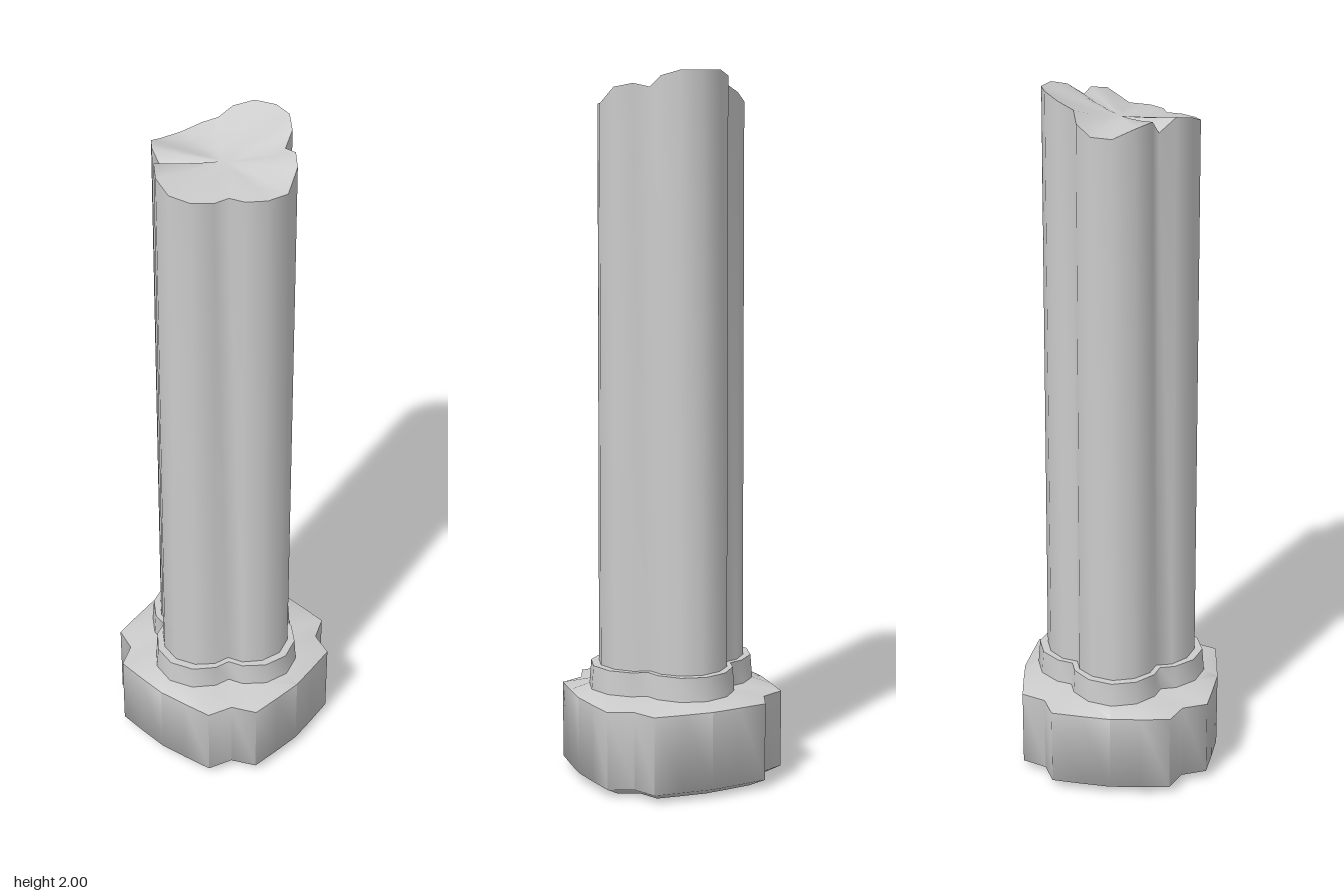
import * as THREE from 'three';
import { toCreasedNormals } from 'three/addons/utils/BufferGeometryUtils.js';

// One quarter of each outline, running from +x towards +z
const SHAFT = [[0.218, 0], [0.2, 0.06], [0.16, 0.102], [0.115, 0.115], [0.102, 0.16], [0.06, 0.2]];
const COLLAR = [[0.247, 0], [0.226, 0.07], [0.175, 0.118], [0.131, 0.131], [0.118, 0.175], [0.07, 0.226]];
const BASE = [[0.287, 0], [0.279, 0.085], [0.269, 0.17], [0.2, 0.2], [0.17, 0.269], [0.085, 0.279]];

// Rim heights of the broken top, in the same order as the outline points
const RIM = [
  1.91, 1.91, 1.91, 1.91, 1.91, 1.912,
  1.92, 1.94, 1.95, 1.91, 1.95, 1.94,
  1.915, 1.915, 1.94, 1.965, 1.985, 2,
  2, 2, 1.985, 1.955, 1.965, 1.955,
];

// Repeat a quarter outline four times around the y axis
function fourfold(quarter) {
  const points = [];
  for (let k = 0; k < 4; k++) {
    for (const [x, z] of quarter) {
      points.push([[x, z], [-z, x], [-x, -z], [z, -x]][k]);
    }
  }
  return points;
}

// Ring of points; y is a number or a rule giving the height of point i
function ring(quarter, scale, y) {
  return fourfold(quarter).map(([x, z], i) =>
    new THREE.Vector3(x * scale, typeof y === 'function' ? y(i) : y, z * scale));
}

// Skin a stack of rings, listed from the bottom up
function loft(name, rings, material, crease = 1.1) {
  const corners = [];
  const addFace = (a, b, c) => {
    if (a.distanceTo(b) > 1e-6 && b.distanceTo(c) > 1e-6 && c.distanceTo(a) > 1e-6) corners.push(a, b, c);
  };
  for (let j = 0; j < rings.length - 1; j++) {
    const low = rings[j], high = rings[j + 1];
    for (let i = 0; i < low.length; i++) {
      const n = (i + 1) % low.length;
      addFace(low[i], high[i], high[n]);
      addFace(low[i], high[n], low[n]);
    }
  }
  const geometry = new THREE.BufferGeometry().setFromPoints(corners);
  const mesh = new THREE.Mesh(toCreasedNormals(geometry, crease), material);
  mesh.name = name;
  return mesh;
}

export function createModel() {
  const group = new THREE.Group();
  group.name = 'brokenColumn';
  const stone = new THREE.MeshStandardMaterial({ color: 0xcccccc });

  // Lobed block with a chamfered foot and a gently sloping top
  group.add(loft('base', [
    ring(BASE, 0, 0),
    ring(BASE, 0.84, 0),
    ring(BASE, 1, 0.025),
    ring(BASE, 1, 0.247),
    ring(COLLAR, 1, 0.267),
    ring(COLLAR, 0, 0.267),
  ], stone));

  // Slightly tapered collar between base and shaft
  group.add(loft('collar', [
    ring(COLLAR, 1, 0.26),
    ring(COLLAR, 0.975, 0.335),
    ring(SHAFT, 0.98, 0.335),
  ], stone));

  // Quatrefoil shaft ending in a jagged, sunken fracture
  const centre = 1.925;
  const fracture = (mix) => (i) => centre + (RIM[i] - centre) * mix;
  group.add(loft('shaft', [
    ring(SHAFT, 1, 0.3),
    ring(SHAFT, 0.98, (i) => RIM[i]),
    ring(SHAFT, 0.65, fracture(0.55)),
    ring(SHAFT, 0.3, fracture(0.2)),
    ring(SHAFT, 0, centre),
  ], stone));

  return group;
}
